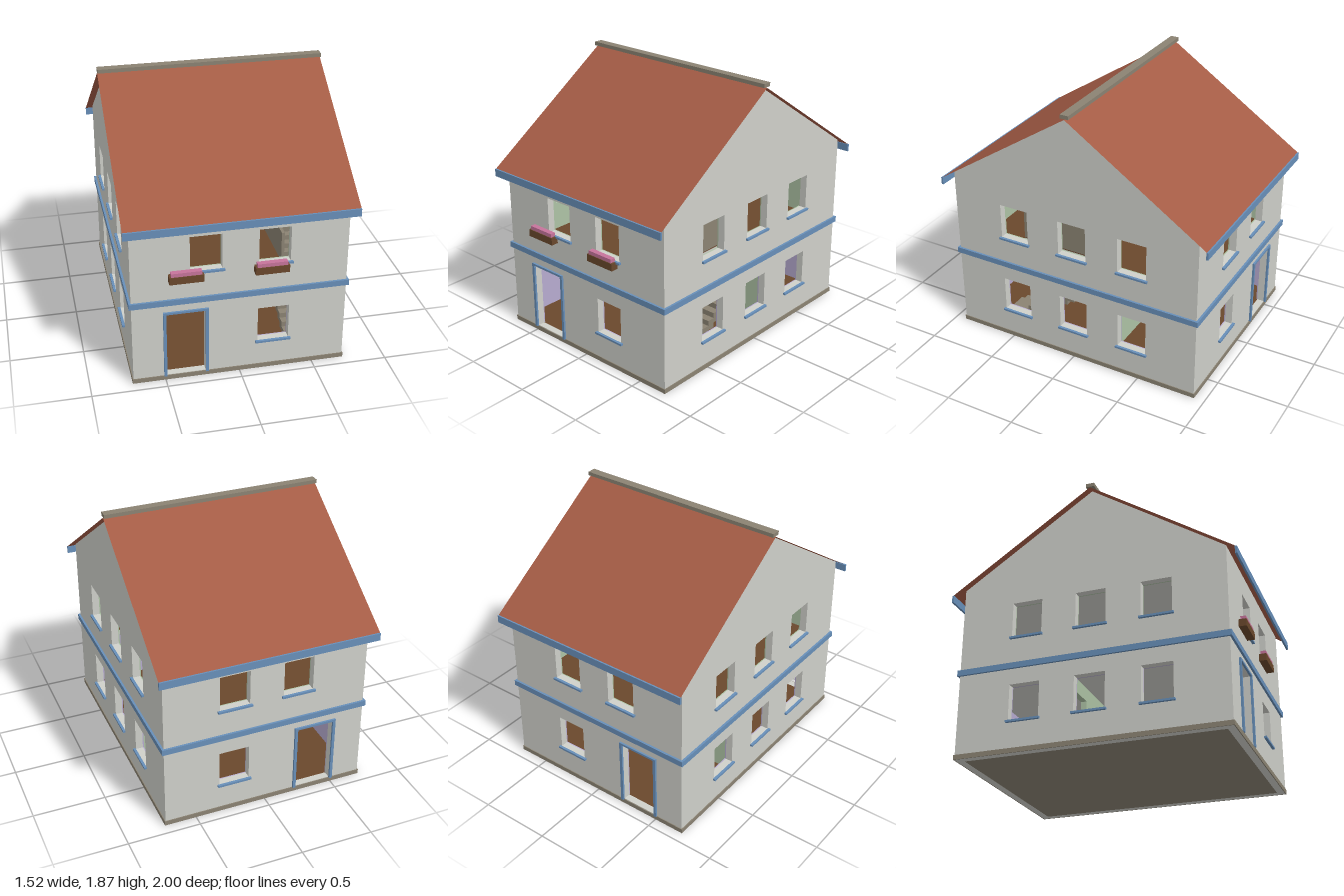
import * as THREE from 'three';

const mat = (name, color, side = THREE.FrontSide) => {
  const m = new THREE.MeshStandardMaterial({ color, side });
  m.name = name;
  return m;
};

export function createModel() {
  const house = new THREE.Group();
  house.name = 'house';

  const plaster = mat('plaster', 0xcfd0ca);
  const blue = mat('blueTrim', 0x688fb9);
  const tile = mat('roofTile', 0xa45c45, THREE.DoubleSide);
  const stone = mat('stone', 0x8b8373);
  const wood = mat('wood', 0x6a482c);
  const green = mat('greenPaint', 0xadc3a5);
  const purple = mat('purplePaint', 0xb7abd0);
  const pink = mat('blossom', 0xc6749b);

  const add = (name, geo, material, parent = house) => {
    const m = new THREE.Mesh(geo, material);
    m.name = name;
    parent.add(m);
    return m;
  };
  // box given by its limits
  const box = (name, material, x0, x1, y0, y1, z0, z1) => {
    const g = new THREE.BoxGeometry(x1 - x0, y1 - y0, z1 - z0);
    g.translate((x0 + x1) / 2, (y0 + y1) / 2, (z0 + z1) / 2);
    return add(name, g, material);
  };

  // flat panel with openings [x0, x1, y0, y1]; those reaching the bottom become notches
  const panel = (half, y0, y1, depth, openings, peak) => {
    const pts = [[-half, y0]];
    const holes = [];
    for (const [a, b, c, d] of openings) {
      if (d <= y0 || c >= y1) continue;
      if (c <= y0) pts.push([a, y0], [a, d], [b, d], [b, y0]);
      else holes.push([[a, c], [a, d], [b, d], [b, c]]);
    }
    pts.push([half, y0], [half, y1]);
    if (peak) pts.push([0, peak]);
    pts.push([-half, y1]);
    const vec = (list) => list.map(([x, y]) => new THREE.Vector2(x, y));
    const s = new THREE.Shape(vec(pts));
    for (const h of holes) s.holes.push(new THREE.Path(vec(h)));
    return new THREE.ExtrudeGeometry(s, { depth, bevelEnabled: false });
  };

  const X = 0.715, Z = 0.92, T = 0.05, P = 0.008;
  const low = [0.22, 0.47], high = [0.81, 1.06];
  const door = [-0.49, -0.23, 0.035, 0.51];
  const endWindows = [[0.12, 0.33, ...low], [-0.33, -0.12, ...high], [0.12, 0.33, ...high]];
  const endOpenings = [door, ...endWindows];
  const sideWindows = [];
  for (const c of [-0.45, 0, 0.45])
    for (const y of [low, high]) sideWindows.push([c - 0.105, c + 0.105, ...y]);
  const storeys = [['lower', 0.035, 0.575, purple], ['upper', 0.615, 1.13, green]];

  // front and back walls with painted linings, door frames and sills
  for (const [side, s] of [['front', 1], ['back', -1]]) {
    const place = (g, near, far) => g.translate(0, 0, s > 0 ? near : -far);
    add(side + 'Wall', place(panel(X - T, 0, 1.22, T, endOpenings), Z - T, Z), plaster);
    for (const [n, y0, y1, paint] of storeys)
      add(`${side}${n}Lining`, place(panel(X - T, y0, y1, P, endOpenings), Z - T - P, Z - T), paint);
    const frame = panel(0.15, 0.03, 0.525, 0.014, [[-0.13, 0.13, 0.03, 0.51]]);
    frame.translate(-0.36, 0, 0);
    add(side + 'DoorFrame', place(frame, Z, Z + 0.014), blue);
    for (const [a, b, c] of endWindows) {
      const z = [s * Z, s * (Z + 0.018)].sort((p, q) => p - q);
      box(side + 'Sill', blue, a - 0.015, b + 0.015, c - 0.014, c, ...z);
    }
  }

  // gable walls with painted linings and sills
  for (const [side, s] of [['left', 1], ['right', -1]]) {
    const place = (g, near, far) => g.rotateY(-Math.PI / 2).translate(s > 0 ? far : -near, 0, 0);
    add(side + 'GableWall', place(panel(Z, 0, 1.22, T, sideWindows, 1.83), X - T, X), plaster);
    for (const [n, y0, y1, paint] of storeys)
      add(`${side}${n}Lining`, place(panel(Z - T - P, y0, y1, P, sideWindows), X - T - P, X - T), paint);
    for (const [a, b, c] of sideWindows) {
      const x = [s * X, s * (X + 0.018)].sort((p, q) => p - q);
      box(side + 'Sill', blue, ...x, c - 0.014, c, a - 0.012, b + 0.012);
    }
  }

  // rings around the house
  const ring = (name, material, out, y0, y1) => {
    for (const s of [-1, 1]) {
      const z = [s * Z, s * (Z + out)].sort((p, q) => p - q);
      const x = [s * X, s * (X + out)].sort((p, q) => p - q);
      box(name, material, -X - out, X + out, y0, y1, ...z);
      box(name, material, ...x, y0, y1, -Z, Z);
    }
  };
  ring('plinth', stone, 0.006, 0, 0.032);
  ring('storeyBand', blue, 0.015, 0.58, 0.62);

  // ground floor and ceiling
  const ix = X - T, iz = Z - T;
  box('baseSlab', stone, -ix, ix, 0, 0.028, -iz, iz);
  box('groundFloor', wood, -ix, ix, 0.028, 0.035, -iz, iz);
  box('ceiling', plaster, -ix, ix, 1.13, 1.17, -iz, iz);

  // upper floor with a stairwell
  const well = { x0: 0.38, x1: 0.62, z0: -0.17, z1: 0.6 };
  const floorPlate = (name, material, y0, y1) => {
    box(name, material, -ix, well.x0, y0, y1, -iz, iz);
    box(name, material, well.x1, ix, y0, y1, -iz, iz);
    box(name, material, well.x0, well.x1, y0, y1, -iz, well.z0);
    box(name, material, well.x0, well.x1, y0, y1, well.z1, iz);
  };
  floorPlate('upperSlab', plaster, 0.575, 0.608);
  floorPlate('upperFloor', wood, 0.608, 0.615);

  // inner partition with a doorway
  add('partition', panel(ix - P, 0.035, 0.575, 0.04, [[-0.46, -0.26, 0.035, 0.48]])
    .translate(0, 0, -0.24), green);

  // open stairs and parapet
  for (let i = 0; i < 15; i++) {
    const z = 0.655 - i * 0.055, top = 0.075 + i * 0.037;
    box('stairStep', stone, well.x0, well.x1, Math.max(0.035, top - 0.07), top, z - 0.055, z);
  }
  box('stairParapet', stone, well.x0 - 0.02, well.x0, 0.615, 0.83, well.z0, well.z1);

  // roof sheets, eaves boards and ridge cap
  const rise = 0.657, run = 0.99;
  for (const [side, s] of [['front', 1], ['back', -1]]) {
    const g = new THREE.PlaneGeometry(1.52, Math.hypot(rise, run));
    g.rotateX(-Math.atan2(run, rise)).translate(0, 1.835 - rise / 2, run / 2);
    if (s < 0) g.rotateY(Math.PI);
    add(side + 'Roof', g, tile);
    const z = [s * 0.986, s].sort((p, q) => p - q);
    box(side + 'EavesBoard', blue, -0.76, 0.76, 1.125, 1.177, ...z);
  }
  box('ridgeCap', stone, -0.76, 0.76, 1.84, 1.866, -0.03, 0.03);

  // flower boxes
  for (const x of [-0.36, 0.2]) {
    box('flowerBox', wood, x - 0.112, x + 0.112, 0.757, 0.808, Z, 0.972);
    box('flowers', pink, x - 0.1, x + 0.1, 0.808, 0.834, 0.93, 0.967);
  }

  return house;
}
